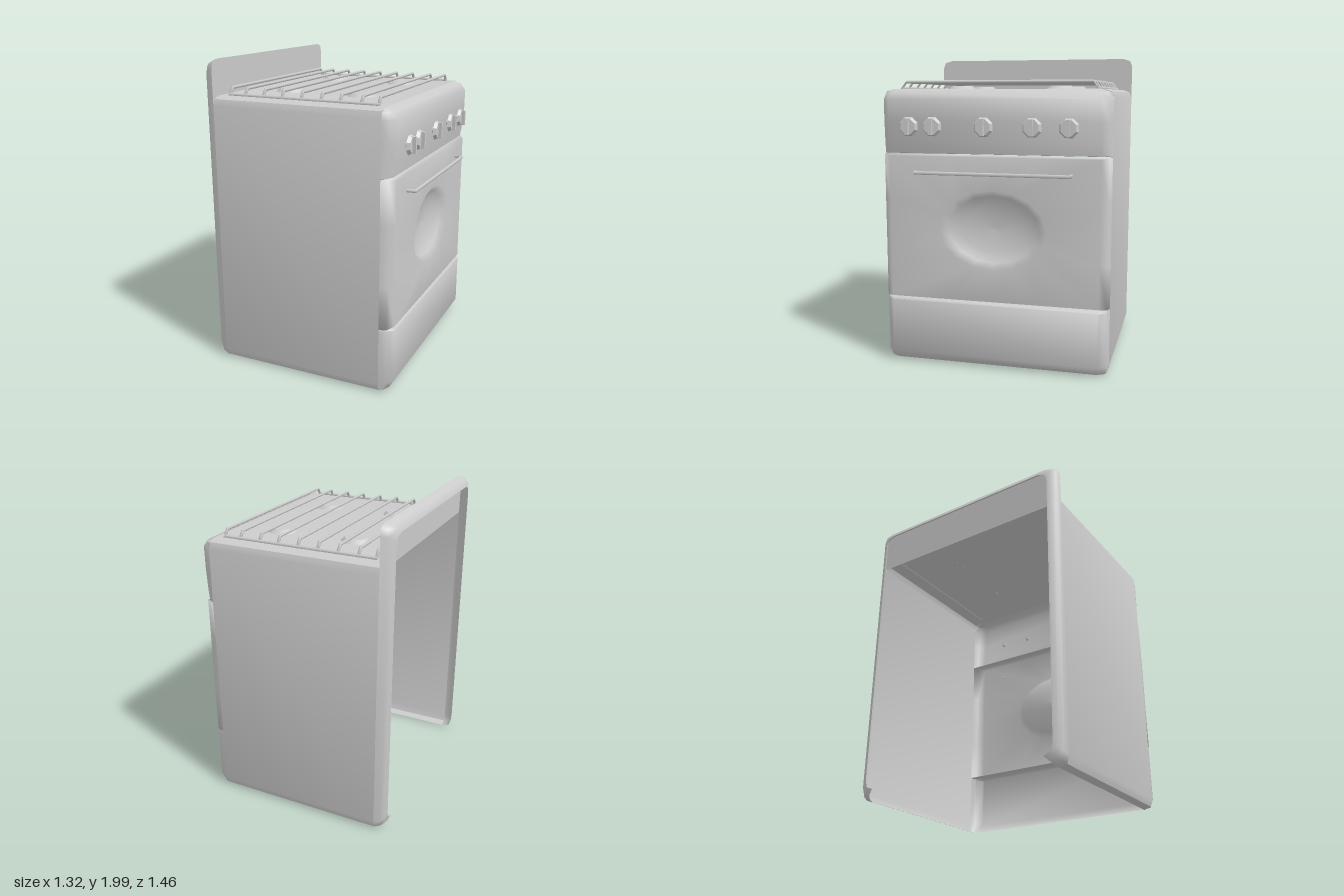
import * as THREE from 'three';
import { toCreasedNormals } from 'three/addons/utils/BufferGeometryUtils.js';

const material = new THREE.MeshStandardMaterial({ color: 0xcccccc });
const shellMaterial = new THREE.MeshStandardMaterial({ color: 0xcccccc, side: THREE.DoubleSide });

// Skin joining equal-length rows of [x, y, z] points
function loft(rows, closed = false) {
  const n = rows[0].length, index = [];
  for (let r = 0; r < rows.length - 1; r++) {
    for (let i = 0; i < (closed ? n : n - 1); i++) {
      const a = r * n + i, b = r * n + (i + 1) % n;
      index.push(a, b, a + n, b, b + n, a + n);
    }
  }
  const geometry = new THREE.BufferGeometry();
  geometry.setAttribute('position', new THREE.Float32BufferAttribute(rows.flat(2), 3));
  geometry.setIndex(index);
  geometry.computeVertexNormals();
  return geometry;
}

// Rounded upside-down U across the width: bottom lips, sides and top
function arch(x, top, inset = 0) {
  const w = 0.73 - inset, t = top - inset, b = 0.01 + inset;
  const half = [[w - 0.06, b], [w - 0.015, b + 0.015], [w, b + 0.06],
    [w, t - 0.055], [w - 0.015, t - 0.015], [w - 0.065, t]];
  return [...half.map(([z, y]) => [x, y, z]), ...half.reverse().map(([z, y]) => [x, y, -z])];
}

// Front panel with rounded sides; each row is [height, depth, half width]
function frontPanel(rows) {
  return toCreasedNormals(loft(rows.map(([y, d, w]) => {
    const half = [[w, 0], [w - 0.015, 0.55 * d], [w - 0.06, d]];
    return [...half.map(([z, e]) => [0.52 + e, y, z]),
      ...half.reverse().map(([z, e]) => [0.52 + e, y, -z])];
  })), 0.9);
}

// Door skin running from its rectangular edge into an oval dished window
function doorGeometry() {
  const n = 16, cy = 0.905;
  const ring = (x, w, h, square) => Array.from({ length: n }, (_, i) => {
    const a = i / n * Math.PI * 2, c = Math.cos(a), s = Math.sin(a);
    const k = square ? 1 / Math.max(Math.abs(c), Math.abs(s)) : 1;
    return [x, cy + h * s * k, w * c * k];
  });
  const rings = [ring(0.52, 0.73, 0.465, true), ring(0.565, 0.717, 0.463, true),
    ring(0.597, 0.67, 0.455, true)];
  for (const [r, depth] of [[1, 0], [0.85, 0.035], [0.6, 0.06], [0.3, 0.075], [0, 0.08]]) {
    rings.push(ring(0.597 - depth, 0.345 * r, 0.252 * r, false));
  }
  return loft(rings, true);
}

export function createModel() {
  const model = new THREE.Group();
  const add = (name, geometry, mat = material, parent = model) => {
    const mesh = new THREE.Mesh(geometry, mat);
    mesh.name = name;
    parent.add(mesh);
    return mesh;
  };
  const rod = (points, radius, sides = 6) => {
    const path = new THREE.CurvePath();
    const v = points.map((p) => new THREE.Vector3(...p));
    for (let i = 1; i < v.length; i++) path.add(new THREE.LineCurve3(v[i - 1], v[i]));
    return new THREE.TubeGeometry(path, (v.length - 1) * 6, radius, sides);
  };

  // Hollow body, open at the back and underneath
  add('bodyShell', toCreasedNormals(loft([arch(-0.588, 1.775), arch(0.52, 1.775)]), 0.9), shellMaterial);

  // Rear lip rolling inwards around the sides and backsplash
  add('rearLip', toCreasedNormals(loft([arch(-0.588, 2), arch(-0.625, 2, 0.012),
    arch(-0.648, 2, 0.03), arch(-0.66, 2, 0.06)]), 0.9), shellMaterial);

  // Backsplash face
  const splash = new THREE.Shape([[-0.73, 1.73], [0.73, 1.73], [0.73, 1.945], [0.715, 1.985],
    [0.665, 2], [-0.665, 2], [-0.715, 1.985], [-0.73, 1.945]].map((p) => new THREE.Vector2(...p)));
  const splashMesh = add('backsplash', new THREE.ShapeGeometry(splash), shellMaterial);
  splashMesh.rotation.y = Math.PI / 2;
  splashMesh.position.x = -0.588;

  // Front: drawer, door and control panel
  add('drawer', frontPanel([[0.01, 0, 0.67], [0.025, 0.045, 0.715], [0.08, 0.08, 0.73],
    [0.425, 0.08, 0.73], [0.437, 0.065, 0.73], [0.44, 0, 0.73]]), shellMaterial);
  add('door', doorGeometry(), shellMaterial);
  add('controlPanel', frontPanel([[1.372, 0, 0.73], [1.378, 0.055, 0.73], [1.45, 0.068, 0.73],
    [1.58, 0.079, 0.73], [1.71, 0.08, 0.73], [1.755, 0.055, 0.717], [1.775, 0, 0.67]]), shellMaterial);

  // Door handle with bent ends
  add('doorHandle', rod([[0.59, 1.26, -0.495], [0.645, 1.26, -0.495],
    [0.645, 1.26, 0.495], [0.59, 1.26, 0.495]], 0.012));

  // Knobs
  for (const z of [0.528, 0.374, 0.045, -0.257, -0.48]) {
    const knob = new THREE.Group();
    knob.name = 'knob';
    knob.position.set(0.618, 1.545, z);
    const disc = add('knobDisc', new THREE.CylinderGeometry(0.05, 0.063, 0.02, 8).toNonIndexed(), material, knob);
    disc.geometry.computeVertexNormals();
    disc.geometry.rotateY(Math.PI / 8).rotateZ(-Math.PI / 2);
    disc.position.x = 0.01;
    const grip = add('knobGrip', new THREE.BoxGeometry(0.03, 0.1, 0.02), material, knob);
    grip.position.x = 0.027;
    const stem = add('knobStem', new THREE.CylinderGeometry(0.015, 0.015, 0.04, 8), material, knob);
    stem.rotation.z = Math.PI / 2;
    stem.position.x = -0.018;
    model.add(knob);
  }

  // Grate bars, bent down at both ends
  for (const x of [-0.528, -0.42, -0.292, -0.163, -0.033, 0.098, 0.223, 0.357, 0.465]) {
    add('grateBar', rod([[x, 1.775, -0.633], [x, 1.82, -0.633],
      [x, 1.82, 0.633], [x, 1.775, 0.633]], 0.01));
  }
  for (const z of [-0.63, 0.63]) {
    add('grateRail', rod([[-0.535, 1.78, z], [0.47, 1.78, z]], 0.011));
  }

  // Burners
  for (const x of [-0.28, 0.22]) {
    for (const z of [-0.355, 0.31]) {
      const burner = add('burner', new THREE.CylinderGeometry(0.07, 0.097, 0.025, 8));
      burner.position.set(x, 1.785, z);
      burner.rotation.y = 0.2;
    }
  }
  return model;
}
